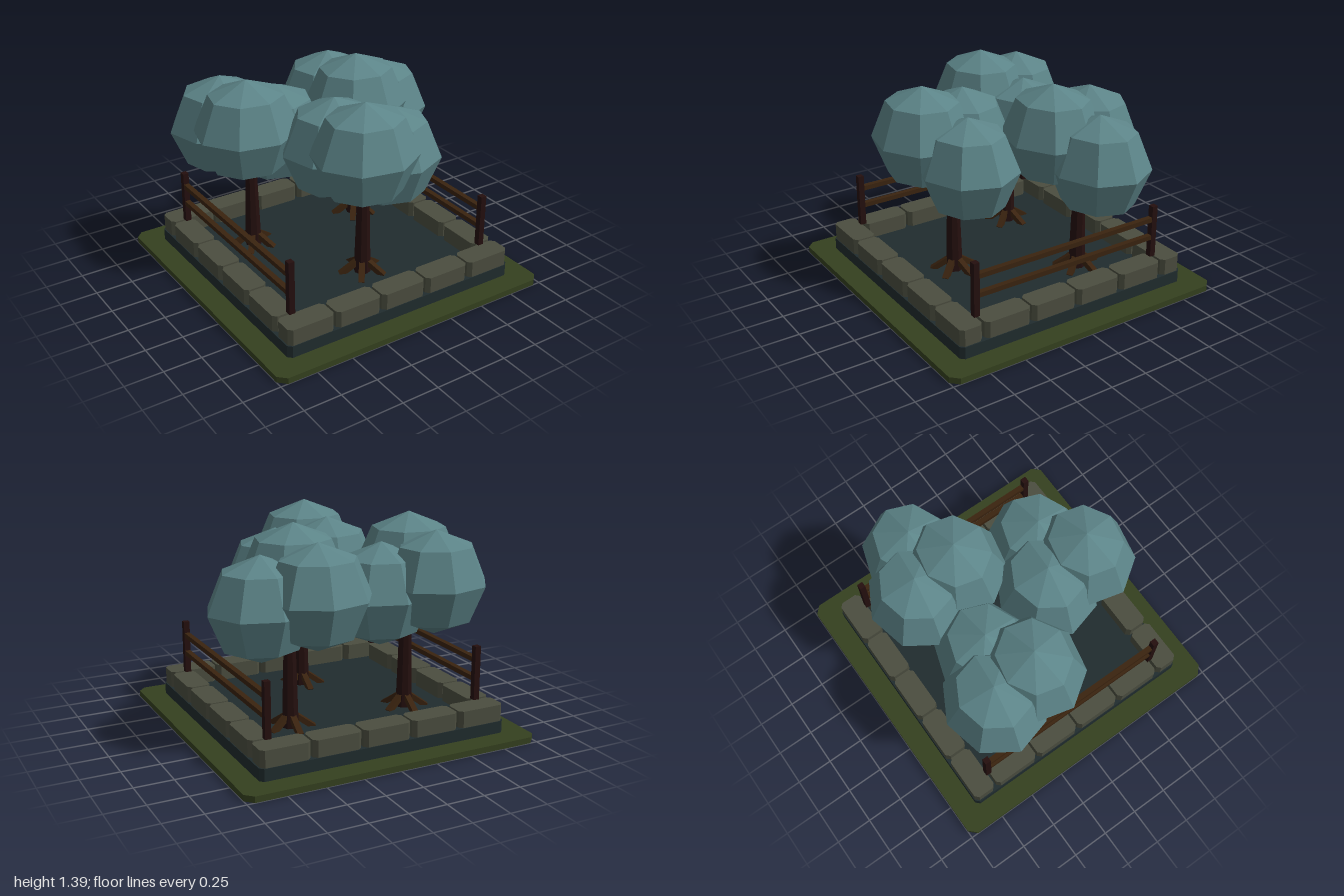
import * as THREE from 'three';

const mat = (name, color) => {
  const m = new THREE.MeshStandardMaterial({ color });
  m.name = name;
  return m;
};

// Separate the faces so each one is shaded flat
function faceted(geometry) {
  const g = geometry.index ? geometry.toNonIndexed() : geometry;
  g.computeVertexNormals();
  return g;
}

// Upright slab with cut corners, its underside at y = 0
function slab(w, d, h, cut) {
  const x = w / 2, z = d / 2;
  const shape = new THREE.Shape([
    [x - cut, -z], [x, -z + cut], [x, z - cut], [x - cut, z],
    [-x + cut, z], [-x, z - cut], [-x, -z + cut], [-x + cut, -z],
  ].map(([a, b]) => new THREE.Vector2(a, b)));
  return new THREE.ExtrudeGeometry(shape, { depth: h, bevelEnabled: false }).rotateX(-Math.PI / 2);
}

export function createModel() {
  const grass = mat('grass green', 0x35411f);
  const soil = mat('dark soil', 0x202c2e);
  const stone = mat('stone grey', 0x4b4d3f);
  const bark = mat('dark bark', 0x240f0e);
  const wood = mat('brown wood', 0x3a230f);
  const leaf = mat('blue green leaf', 0x5c8488);

  const model = new THREE.Group();
  model.name = 'walledGrove';
  const add = (parent, name, geometry, material, x = 0, y = 0, z = 0) => {
    const m = new THREE.Mesh(geometry, material);
    m.name = name;
    m.position.set(x, y, z);
    parent.add(m);
    return m;
  };

  // Ground
  add(model, 'grassBase', slab(2, 2, 0.04, 0.05), grass);
  add(model, 'soilBed', slab(1.7, 1.7, 0.08, 0.025), soil, 0, 0.04, 0);

  // Stone border: five blocks front and back, four along each side
  const border = new THREE.Group();
  border.name = 'stoneBorder';
  model.add(border);
  const pitch = 0.34, length = 0.325, depth = 0.155, height = 0.11;
  const rowBlock = slab(length, depth, height, 0.025);
  const sideBlock = slab(depth, length, height, 0.025);
  for (const s of [-1, 1]) {
    for (let i = -2; i <= 2; i++) add(border, 'borderStone', rowBlock, stone, i * pitch, 0.12, s * 0.768);
    for (let i = -1.5; i <= 1.5; i++) add(border, 'borderStone', sideBlock, stone, s * 0.768, 0.12, i * pitch);
  }

  // Fences on both sides
  const post = new THREE.BoxGeometry(0.04, 0.36, 0.04);
  const rail = new THREE.BoxGeometry(0.036, 0.032, 1.34);
  for (const s of [-1, 1]) {
    const fence = new THREE.Group();
    fence.name = s > 0 ? 'leftFence' : 'rightFence';
    fence.position.x = s * 0.733;
    model.add(fence);
    for (const z of [-0.68, 0.68]) add(fence, 'fencePost', post, bark, 0, 0.41, z);
    for (const y of [0.37, 0.497]) add(fence, 'fenceRail', rail, wood, 0, y, 0);
  }

  // Three trees, each with a tapered trunk, spread roots and three leaf lobes
  const trunk = faceted(new THREE.CylinderGeometry(0.034, 0.056, 0.75, 8));
  const root = new THREE.BoxGeometry(0.16, 0.035, 0.04).rotateZ(-0.62).translate(0.085, 0.018, 0);
  const lobes = [
    { at: [-0.1, 1.055, 0.15], turn: 0.17 },
    { at: [-0.12, 0.985, -0.155], turn: -0.15 },
    { at: [0.19, 0.91, 0], turn: 0.05 },
  ].map(({ at, turn }) => ({
    at,
    geometry: faceted(new THREE.SphereGeometry(0.34, 8, 4).rotateY(turn).scale(1.03, 1, 0.94)),
  }));
  for (const [x, z] of [[0, 0.38], [-0.418, -0.32], [0.413, -0.32]]) {
    const tree = new THREE.Group();
    tree.name = 'tree';
    tree.position.set(x, 0, z);
    model.add(tree);
    add(tree, 'trunk', trunk, bark, 0, 0.495, 0);
    for (let i = 0; i < 5; i++) {
      add(tree, 'root', root, wood, 0, 0.14, 0).rotation.y = i * Math.PI * 0.4 + 0.3;
    }
    for (const { at, geometry } of lobes) add(tree, 'leafLobe', geometry, leaf, ...at);
  }
  return model;
}
